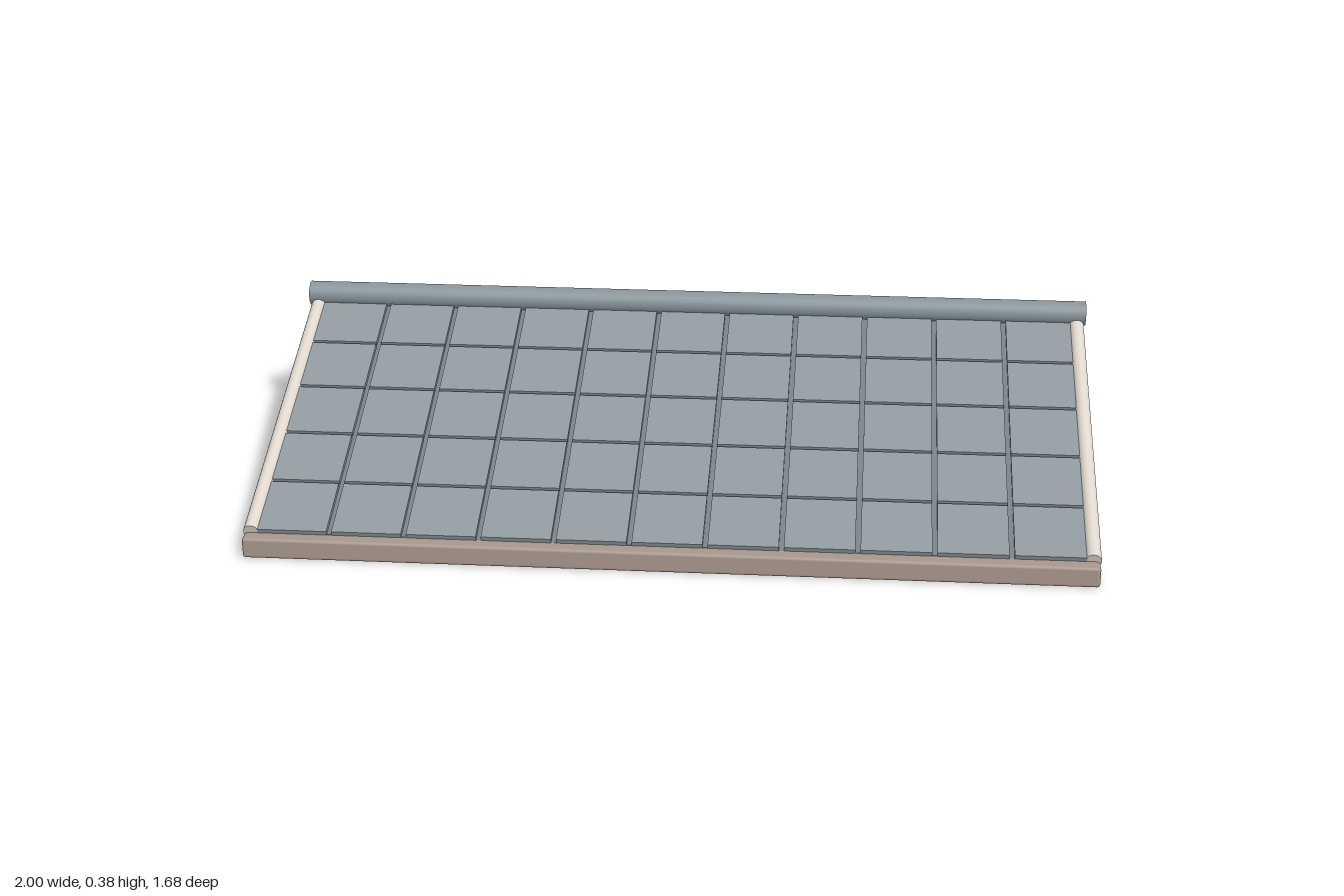
import * as THREE from 'three';
import { RoundedBoxGeometry } from 'three/addons/geometries/RoundedBoxGeometry.js';

function material(name, color) {
  const m = new THREE.MeshStandardMaterial({ color });
  m.name = name;
  return m;
}

export function createModel() {
  const slate = material('slate grey', 0x8f999e);
  const ridgeGrey = material('ridge grey', 0x87949a);
  const underGrey = material('underlay grey', 0x788286);
  const cream = material('pale trim', 0xe0d8ce);
  const taupe = material('taupe eave', 0xa8988e);

  const model = new THREE.Group();
  model.name = 'gableRoof';
  const add = (parent, name, geo, mat, x, y, z) => {
    const mesh = new THREE.Mesh(geo, mat);
    mesh.name = name;
    mesh.position.set(x, y, z);
    parent.add(mesh);
  };

  const ANGLE = Math.atan(0.348);
  const COLS = 11, ROWS = 5;
  const PITCH_X = 0.176, PITCH_Z = 0.1695;
  const tileGeo = new THREE.BoxGeometry(PITCH_X - 0.012, 0.012, PITCH_Z - 0.008);
  const vergeGeo = new THREE.CylinderGeometry(0.021, 0.021, 0.853, 20).rotateX(Math.PI / 2);
  vergeGeo.scale(0.9, 1, 1);
  const eaveGeo = new RoundedBoxGeometry(1.985, 0.05, 0.07, 2, 0.007);

  for (const side of ['front', 'back']) {
    const half = new THREE.Group();
    half.name = side + 'Half';
    if (side === 'back') half.rotation.y = Math.PI;
    model.add(half);

    // Pitched plane: local z runs from the ridge down to the eave
    const slope = new THREE.Group();
    slope.name = side + 'Slope';
    slope.position.y = 0.331;
    slope.rotation.x = ANGLE;
    half.add(slope);

    add(slope, 'underlay', new THREE.BoxGeometry(1.94, 0.008, 0.85), underGrey, 0, -0.004, 0.427);

    // Flat tiles with narrow joints
    for (let r = 0; r < ROWS; r++) {
      for (let c = 0; c < COLS; c++) {
        const x = (c - (COLS - 1) / 2) * PITCH_X;
        add(slope, 'tile', tileGeo, slate, x, 0.005, 0.01 + (r + 0.5) * PITCH_Z);
      }
    }

    // Round verge trims on both gable ends
    for (const s of [-1, 1]) add(slope, 'vergeTrim', vergeGeo, cream, s * 0.977, 0, 0.4265);

    add(half, 'eaveBeam', eaveGeo, taupe, 0, 0.025, 0.805);
  }

  // Ridge cap
  const ridge = new THREE.CylinderGeometry(0.031, 0.031, 2, 24).rotateZ(Math.PI / 2);
  add(model, 'ridgeCap', ridge, ridgeGrey, 0, 0.35, 0);

  return model;
}
